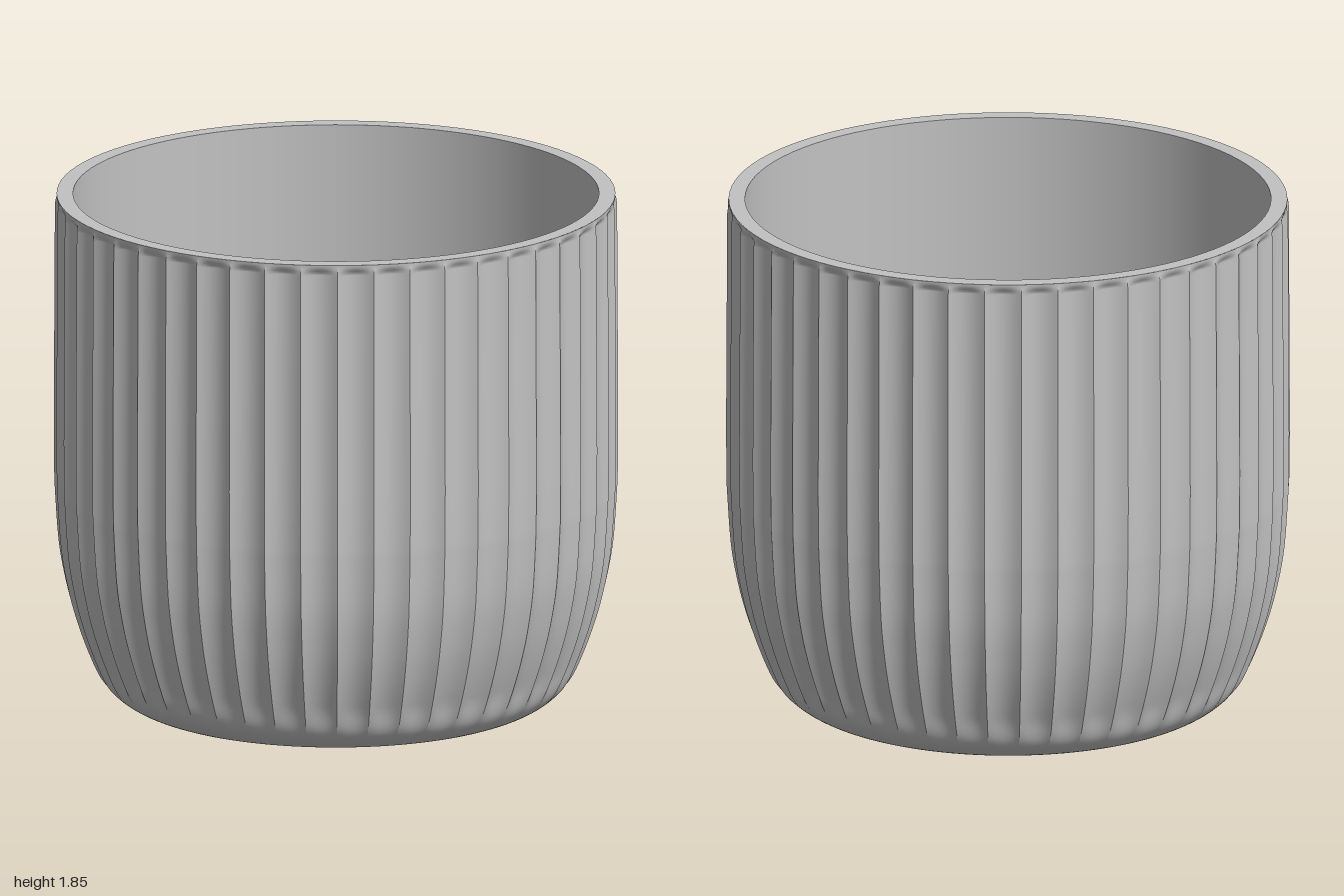
import * as THREE from 'three';
import { mergeGeometries } from 'three/addons/utils/BufferGeometryUtils.js';

const FLUTES = 48, COLS = 10, DEPTH = 0.022, TOP = 1.85;
const v = (x, y) => new THREE.Vector2(x, y);

// Outer silhouette along the ridges, from base to rim
function outerProfile() {
  const curve = new THREE.SplineCurve([
    v(0.66, 0), v(0.73, 0.012), v(0.79, 0.045), v(0.84, 0.1), v(0.882, 0.19),
    v(0.925, 0.31), v(0.957, 0.43), v(0.983, 0.58), v(0.998, 0.8),
  ]);
  return [...curve.getPoints(40), v(1, 1), v(0.998, 1.4), v(0.996, 1.81),
    v(0.995, 1.818), v(0.994, 1.826), v(0.992, 1.834), v(0.99, 1.842), v(0.99, TOP)];
}

// How deep the flutes are cut at a given height
function fluteDepth(y) {
  const low = THREE.MathUtils.smoothstep(y, 0.05, 0.19);
  const high = 1 - THREE.MathUtils.smoothstep(y, 1.81, 1.845);
  return DEPTH * low * high;
}

// One concave flute, a strip between two sharp ridges
function fluteGeometry(profile) {
  const pos = [], index = [], step = (Math.PI * 2) / FLUTES;
  profile.forEach((p, j) => {
    for (let i = 0; i <= COLS; i++) {
      const t = i / COLS, u = 2 * t - 1;
      const r = p.x - fluteDepth(p.y) * (1 - u * u);
      pos.push(r * Math.sin(t * step), p.y, r * Math.cos(t * step));
      if (j && i) {
        const d = j * (COLS + 1) + i, c = d - 1, b = d - COLS - 1, a = b - 1;
        index.push(a, b, d, a, d, c);
      }
    }
  });
  const g = new THREE.BufferGeometry();
  g.setAttribute('position', new THREE.Float32BufferAttribute(pos, 3));
  g.setIndex(index);
  g.computeVertexNormals();
  return g;
}

export function createModel() {
  const group = new THREE.Group();
  group.name = 'planter';
  const ceramic = new THREE.MeshStandardMaterial({ color: 0xc2c2c2 });
  ceramic.name = 'grey ceramic';
  const add = (name, geometry) => {
    const mesh = new THREE.Mesh(geometry, ceramic);
    mesh.name = name;
    group.add(mesh);
    return mesh;
  };
  const lathe = (name, points) => add(name, new THREE.LatheGeometry(points, 96));

  // Fluted outer wall
  const flute = fluteGeometry(outerProfile());
  const strips = [];
  for (let k = 0; k < FLUTES; k++) {
    strips.push(flute.clone().rotateY((k * Math.PI * 2) / FLUTES));
  }
  add('flutedWall', mergeGeometries(strips));

  // Underside, rim, inner wall and floor
  const floorY = 0.1;
  lathe('underside', [v(0, 0), v(0.66, 0)]);
  lathe('rim', [v(0.99, TOP), v(0.932, TOP)]);
  const inner = new THREE.SplineCurve([
    v(0.932, 0.85), v(0.92, 0.62), v(0.892, 0.43), v(0.852, 0.27), v(0.81, 0.165), v(0.763, floorY),
  ]);
  lathe('innerWall', [v(0.932, TOP), v(0.932, 1.2), ...inner.getPoints(24)]);
  lathe('floor', [v(0.763, floorY), v(0, floorY)]);

  // Three small support pegs on the floor
  for (let k = 0; k < 3; k++) {
    const a = (k * Math.PI * 2) / 3;
    const peg = add('supportPeg', new THREE.CylinderGeometry(0.062, 0.062, 0.03, 32));
    peg.position.set(0.48 * Math.sin(a), floorY + 0.015, 0.48 * Math.cos(a));
  }
  return group;
}
